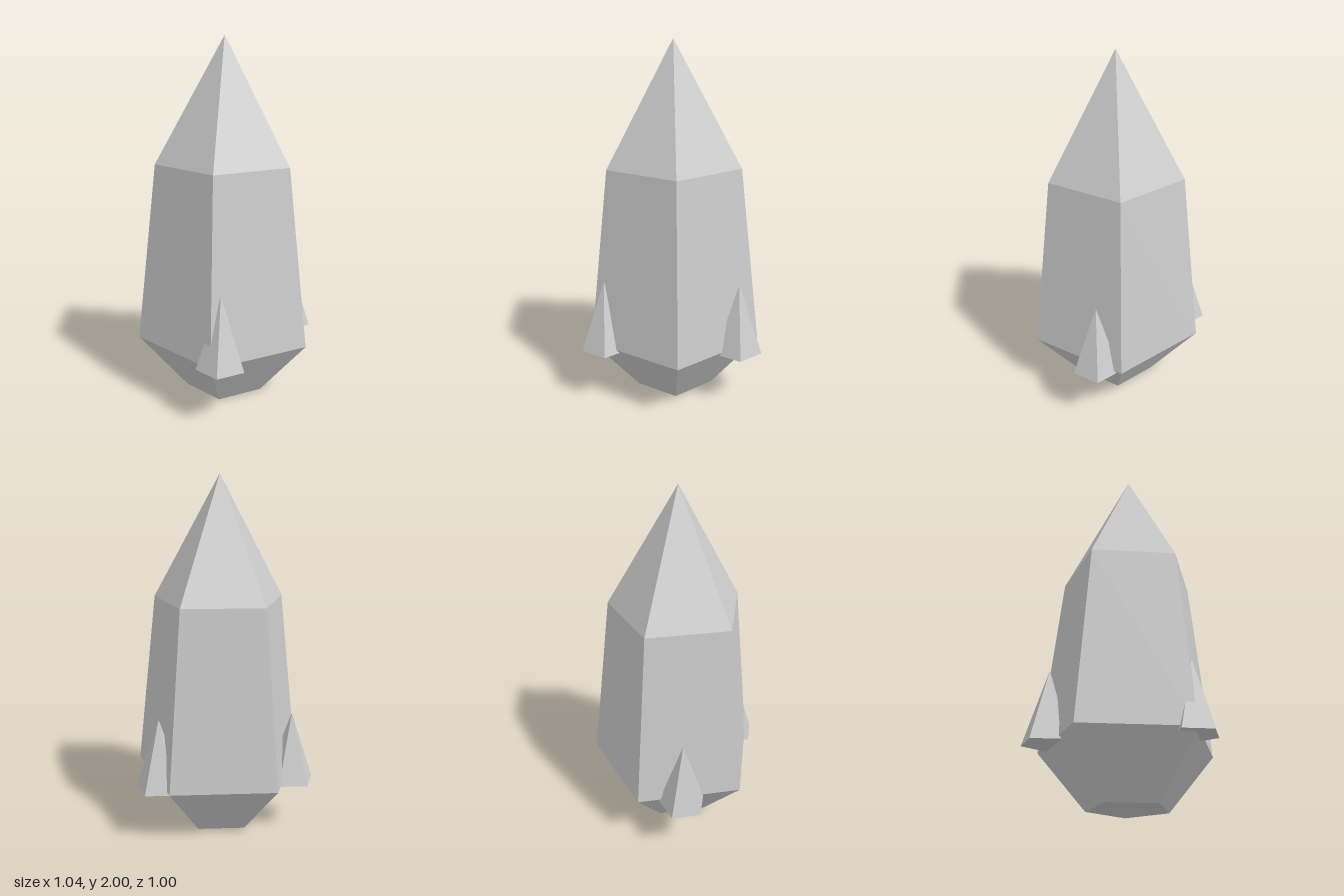
import * as THREE from 'three';

// Five-sided faceted solid from [radius, y] pairs, one corner pointing to -z
function facetedSolid(name, profile, material, x, z) {
  const points = profile.map(([r, y]) => new THREE.Vector2(r, y));
  const geometry = new THREE.LatheGeometry(points, 5, Math.PI).toNonIndexed();
  geometry.computeVertexNormals(); // hard facets
  const mesh = new THREE.Mesh(geometry, material);
  mesh.name = name;
  mesh.position.set(x, 0, z);
  return mesh;
}

export function createModel() {
  const group = new THREE.Group();
  group.name = 'crystal';
  const stone = new THREE.MeshStandardMaterial({ color: 0xcccccc });
  stone.name = 'pale grey crystal';

  // Main crystal: tapered foot, long body, pointed tip
  const body = [[0, 0], [0.226, 0], [0.5, 0.32], [0.385, 1.32], [0, 2]];
  group.add(facetedSolid('mainCrystal', body, stone, -0.043, 0.011));

  // Small shards growing around the foot
  const shard = [[0, 0.3], [0.136, 0.3], [0, 0.7]];
  const spots = { backShard: [-0.26, -0.364], leftShard: [0.388, 0.011], frontShard: [-0.26, 0.386] };
  for (const [name, [x, z]] of Object.entries(spots)) {
    group.add(facetedSolid(name, shard, stone, x, z));
  }
  return group;
}
